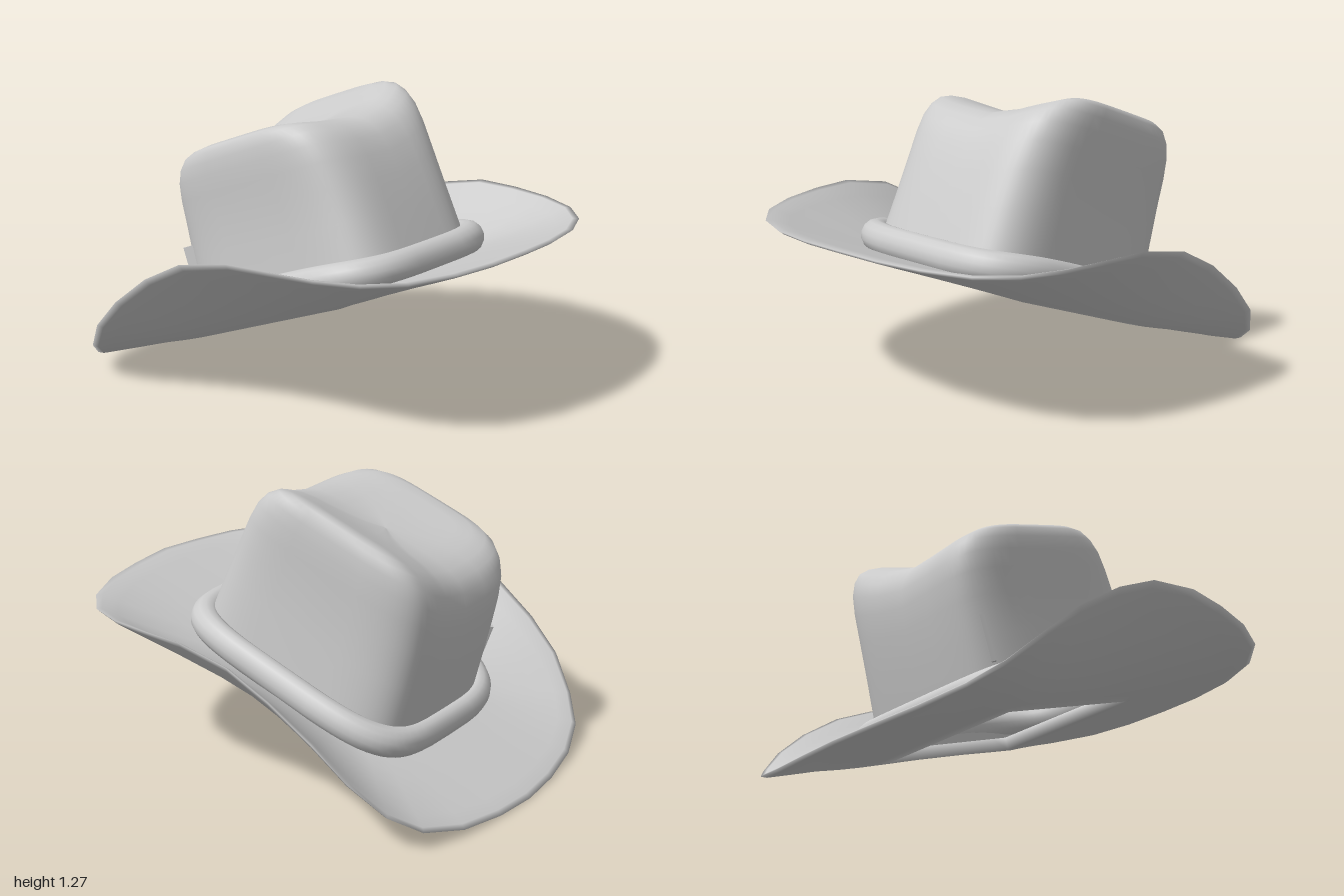
import * as THREE from 'three';

const material = new THREE.MeshStandardMaterial({ color: 0xcccccc, side: THREE.DoubleSide });

// Skins a list of closed rings (each an array of [x, y, z]) with smooth normals.
function loft(name, rings, closed = false) {
  const n = rings[0].length, index = [];
  const last = closed ? rings.length : rings.length - 1;
  for (let i = 0; i < last; i++) {
    const k = (i + 1) % rings.length;
    for (let j = 0; j < n; j++) {
      const m = (j + 1) % n;
      const a = i * n + j, b = i * n + m, c = k * n + j, d = k * n + m;
      index.push(a, b, c, b, d, c);
    }
  }
  const geometry = new THREE.BufferGeometry();
  geometry.setAttribute('position', new THREE.Float32BufferAttribute(rings.flat(2), 3));
  geometry.setIndex(index);
  geometry.computeVertexNormals();
  const mesh = new THREE.Mesh(geometry, material);
  mesh.name = name;
  return mesh;
}

// Rounded-rectangle point at angle t, from the front towards +x.
function squircle(t, rx, rz, power = 4.5) {
  const bend = (v) => Math.sign(v) * Math.abs(v) ** (2 / power);
  return [rx * bend(Math.sin(t)), rz * bend(Math.cos(t))];
}

const ringOf = (n, f) => Array.from({ length: n }, (_, j) => f((j / n) * Math.PI * 2, j));

// Brim: rectangular head opening, outer edge curling up at both sides.
function makeBrim() {
  // half of the outer edge, front to back: x, height, z
  const half = [
    [0, 0, 1.065], [0.22, 0, 1.045], [0.43, 0.01, 1.005], [0.63, 0.035, 0.92],
    [0.77, 0.083, 0.8], [0.85, 0.15, 0.64], [0.89, 0.225, 0.458], [0.91, 0.295, 0.27],
    [0.915, 0.335, 0.02], [0.91, 0.31, -0.205], [0.89, 0.245, -0.441], [0.86, 0.165, -0.632],
    [0.77, 0.075, -0.804], [0.65, 0.027, -0.923], [0.45, 0.005, -1.006], [0.22, 0, -1.05],
    [0, 0, -1.066],
  ];
  const edge = [...half, ...half.slice(1, -1).reverse().map(([x, y, z]) => [-x, y, z])];
  const clamp = (v) => THREE.MathUtils.clamp(v * Math.SQRT2, -1, 1);
  const ring = (t, lift) => ringOf(edge.length, (a, j) => {
    const [ex, ey, ez] = edge[j];
    const ix = 0.38 * clamp(Math.sin(a)), iz = -0.065 + 0.375 * clamp(Math.cos(a));
    return [ix + (ex - ix) * t, ey * t ** 1.6 + lift, iz + (ez - iz) * t];
  });
  const steps = [0, 0.12, 0.25, 0.4, 0.55, 0.7, 0.85, 0.96];
  const under = steps.map((t) => ring(t, -0.008 - 0.024 * (1 - t)));
  const over = steps.map((t) => ring(t, 0.01 + 0.016 * (1 - t))).reverse();
  return loft('brim', [...under, ring(1, 0), ...over], true);
}

// Crown: tapering walls under a saddle roof, higher on the left.
function makeCrown() {
  const roofLine = new THREE.SplineCurve([
    [-0.45, 0.785], [-0.36, 0.785], [-0.2, 0.76], [0, 0.745],
    [0.1, 0.76], [0.2, 0.795], [0.3, 0.835], [0.38, 0.87], [0.46, 0.885],
  ].map(([x, y]) => new THREE.Vector2(x, y))).getPoints(80);
  const roof = (x) => {
    const k = Math.max(1, roofLine.findIndex((p) => p.x >= x));
    const a = roofLine[k - 1], b = roofLine[k];
    return a.y + ((b.y - a.y) * (x - a.x)) / (b.x - a.x);
  };
  // share of roof height, half width, half depth
  const levels = [
    [0, 0.435, 0.56], [0.2, 0.43, 0.548], [0.4, 0.422, 0.535], [0.6, 0.422, 0.518],
    [0.74, 0.43, 0.5], [0.84, 0.434, 0.478], [0.91, 0.432, 0.445], [0.96, 0.425, 0.4],
    [0.985, 0.408, 0.345], [0.998, 0.375, 0.28], [1, 0.32, 0.21], [1, 0.22, 0.14],
    [1, 0.11, 0.07], [1, 0, 0],
  ];
  return loft('crown', levels.map(([v, rx, rz]) => ringOf(64, (t) => {
    const [x, z] = squircle(t, rx, rz);
    const cx = x + 0.008 * v;
    return [cx, -0.01 + (roof(cx) + 0.01) * v, z];
  })));
}

// Band: a soft roll around the foot of the crown, rising a little at the sides.
function makeBand() {
  const section = Array.from({ length: 14 }, (_, i) => (i / 14) * Math.PI * 2);
  return loft('band', section.map((s) => ringOf(64, (t) => {
    const out = 0.057 * Math.cos(s);
    const [x, z] = squircle(t, 0.483 + out, 0.573 + out, 3.8);
    return [x, 0.075 + 0.035 * Math.sin(t) ** 2 + 0.068 * Math.sin(s), z];
  })), true);
}

// Small upright tab at the rear right corner of the crown.
function makeTab() {
  const tab = new THREE.Mesh(new THREE.BoxGeometry(0.02, 0.2, 0.06), material);
  tab.name = 'tab';
  tab.position.set(-0.375, 0.28, -0.445);
  tab.rotation.y = Math.PI / 4;
  return tab;
}

export function createModel() {
  const hat = new THREE.Group();
  hat.name = 'hat';
  hat.add(makeBrim(), makeCrown(), makeBand(), makeTab());
  // tipped back, resting on the rear of the brim
  hat.rotation.x = -0.355;
  hat.position.y = 0.38;
  const model = new THREE.Group();
  model.name = 'wideBrimHat';
  model.add(hat);
  return model;
}
